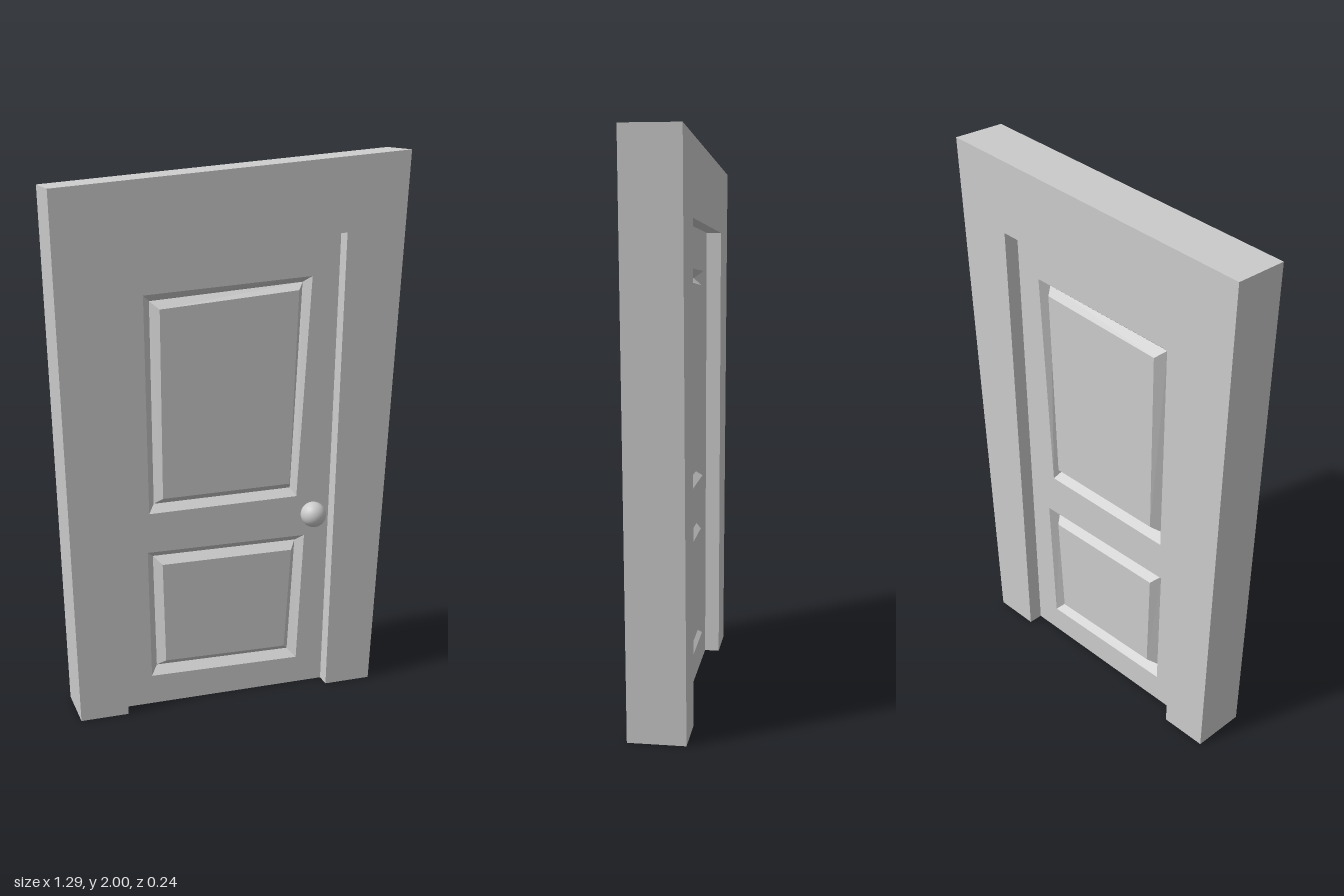
import * as THREE from 'three';

const material = new THREE.MeshStandardMaterial({ color: 0xcccccc });

// Depths: frame front and back, door front and back, groove depth
const FRAME_FRONT = 0.08, FRAME_BACK = -0.12;
const DOOR_FRONT = 0.025, DOOR_BACK = -0.065;
const GROOVE = 0.033;

// Corner lists run anticlockwise from the bottom left
const FRAME_OUTER = [[-0.592, 0], [0.537, 0], [0.643, 2], [-0.645, 1.895]];
const OPENING = [[-0.417, 0], [0.36, 0], [0.406, 1.72], [-0.417, 1.668]];
const PANELS = [
  {
    name: 'upperPanel',
    outer: [[-0.312, 0.741], [0.25, 0.751], [0.3, 1.565], [-0.32, 1.526]],
    inner: [[-0.26, 0.793], [0.222, 0.802], [0.25, 1.517], [-0.262, 1.475]],
  },
  {
    name: 'lowerPanel',
    outer: [[-0.312, 0.11], [0.257, 0.102], [0.283, 0.595], [-0.32, 0.595]],
    inner: [[-0.257, 0.164], [0.207, 0.156], [0.232, 0.542], [-0.265, 0.542]],
  },
];

const toVectors = (pts) => pts.map(([x, y]) => new THREE.Vector2(x, y));

function addMesh(parent, name, geometry) {
  const mesh = new THREE.Mesh(geometry, material);
  mesh.name = name;
  parent.add(mesh);
  return mesh;
}

// Flat slab of a given outline between two depths
function slab(shape, back, front) {
  const geo = new THREE.ExtrudeGeometry(shape, { depth: front - back, bevelEnabled: false });
  return geo.translate(0, 0, back);
}

// Raised field surrounded by a V-shaped groove; side is 1 for front, -1 for back
function groovedPanel({ outer, inner }, z, side) {
  const mid = outer.map((p, i) => [(p[0] + inner[i][0]) / 2, (p[1] + inner[i][1]) / 2]);
  const place = (ring, depth) => ring.map(([x, y]) => [x, y, depth]);
  const rings = [place(outer, z), place(mid, z - side * GROOVE), place(inner, z)];
  const positions = [];
  const quad = (a, b, c, d) => {
    const corners = side > 0 ? [a, b, c, a, c, d] : [a, c, b, a, d, c];
    corners.forEach((p) => positions.push(...p));
  };
  for (let r = 0; r < 2; r++) {
    for (let i = 0; i < 4; i++) {
      const j = (i + 1) % 4;
      quad(rings[r][i], rings[r][j], rings[r + 1][j], rings[r + 1][i]);
    }
  }
  quad(...rings[2]);
  const geo = new THREE.BufferGeometry();
  geo.setAttribute('position', new THREE.Float32BufferAttribute(positions, 3));
  geo.computeVertexNormals();
  return geo;
}

export function createModel() {
  const model = new THREE.Group();
  model.name = 'crookedDoor';

  // Frame: leaning outline with the doorway left open at the floor
  const [oBL, oBR, oTR, oTL] = FRAME_OUTER;
  const [dBL, dBR, dTR, dTL] = OPENING;
  const frameShape = new THREE.Shape(toVectors([oBL, dBL, dTL, dTR, dBR, oBR, oTR, oTL]));
  addMesh(model, 'frame', slab(frameShape, FRAME_BACK, FRAME_FRONT));

  // Door leaf with cut-outs, filled by grooved panels on both faces
  const door = new THREE.Group();
  door.name = 'door';
  model.add(door);
  const leaf = new THREE.Shape(toVectors(OPENING));
  PANELS.forEach((p) => leaf.holes.push(new THREE.Path(toVectors(p.outer))));
  addMesh(door, 'doorLeaf', slab(leaf, DOOR_BACK, DOOR_FRONT));
  for (const panel of PANELS) {
    addMesh(door, panel.name + 'Front', groovedPanel(panel, DOOR_FRONT, 1));
    addMesh(door, panel.name + 'Back', groovedPanel(panel, DOOR_BACK, -1));
  }

  // Round knob on a short stem, front only
  const knob = new THREE.Group();
  knob.name = 'knob';
  knob.position.set(0.3, 0.69, 0.072);
  door.add(knob);
  addMesh(knob, 'knobBall', new THREE.SphereGeometry(0.047, 32, 20));
  const stem = addMesh(knob, 'knobStem', new THREE.CylinderGeometry(0.026, 0.026, 0.05, 24));
  stem.rotation.x = Math.PI / 2;
  stem.position.z = -0.025;

  return model;
}
